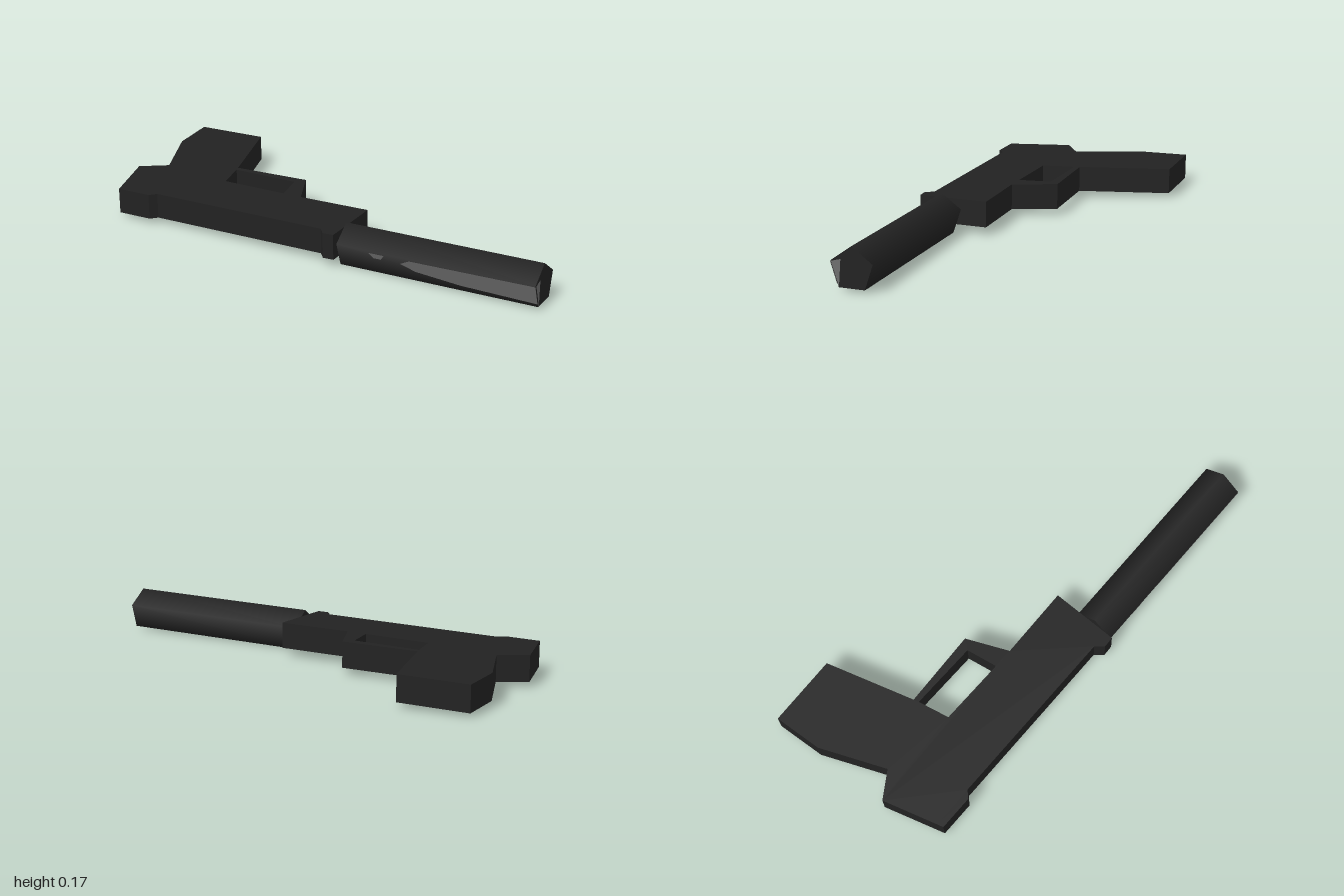
import * as THREE from 'three';

export function createModel() {
  const model = new THREE.Group();
  const black = new THREE.MeshStandardMaterial({ color: 0x222222 });
  black.name = 'black';
  const grey = new THREE.MeshStandardMaterial({ color: 0x6e6e6e, side: THREE.DoubleSide });
  grey.name = 'grey';

  const shapeOf = (points) => new THREE.Shape(points.map(([x, y]) => new THREE.Vector2(x, y)));
  const add = (parent, name, geometry, material) => {
    const mesh = new THREE.Mesh(geometry, material);
    mesh.name = name;
    parent.add(mesh);
    return mesh;
  };

  // Flat body lying on its side: outlines are [x, z], all of one thickness
  const body = new THREE.Group();
  body.name = 'body';
  body.position.y = 0.085;
  body.rotation.z = 0.015;
  model.add(body);
  const thickness = 0.102;
  const slab = (name, outline) => {
    const geometry = new THREE.ExtrudeGeometry(shapeOf(outline.map(([x, z]) => [x, -z])),
      { depth: thickness, bevelEnabled: false });
    geometry.translate(0, 0, -thickness / 2).rotateX(-Math.PI / 2);
    add(body, name, geometry, black);
  };
  slab('frame', [[-0.49, 0.07], [-0.22, 0.024], [-0.14, 0.01], [0.15, -0.05], [0.195, 0.19],
    [0.125, 0.203], [-0.61, 0.34], [-0.782, 0.372], [-0.885, 0.17], [-0.795, 0.085]]);
  slab('grip', [[-0.49, 0.07], [-0.795, 0.085], [-0.95, -0.15], [-1, -0.34],
    [-0.72, -0.4], [-0.55, -0.07], [-0.54, -0.05]]);
  slab('triggerGuard', [[-0.55, -0.07], [-0.243, -0.14], [-0.14, 0.01],
    [-0.22, 0.024], [-0.265, -0.096], [-0.54, -0.05]]);
  slab('rearSight', [[-0.61, 0.34], [-0.63, 0.37], [-0.77, 0.396], [-0.782, 0.372]]);
  slab('frontSight', [[0.125, 0.203], [0.157, 0.23], [0.2, 0.22], [0.195, 0.19]]);

  // Five-sided barrel tube, one corner upwards, built along x and then turned
  const radius = 0.085, length = 0.81;
  const barrel = new THREE.Group();
  barrel.name = 'barrel';
  barrel.position.set(0.588, 0.079, 0.052);
  barrel.rotation.set(0, 0.189, 0.0155);
  model.add(barrel);
  const tube = new THREE.CylinderGeometry(radius, radius, length, 5);
  tube.rotateX(-Math.PI / 2).rotateY(Math.PI / 2);
  add(barrel, 'barrelTube', tube, black);

  // Worn grey patches on the front side face
  const apothem = radius * Math.cos(Math.PI / 5);
  const patches = [
    [[-0.14, 0.02], [-0.1, 0.042], [0.405, 0.047], [0.405, -0.035], [0.1, -0.025], [-0.08, -0.004]],
    [[-0.27, 0.042], [-0.205, 0.042], [-0.22, 0.02], [-0.25, 0.02]],
  ];
  for (const points of patches) {
    const plate = new THREE.ShapeGeometry(shapeOf(points));
    plate.translate(0, 0, apothem + 0.002).rotateX(Math.PI / 10);
    add(barrel, 'sidePatch', plate, grey);
  }

  // Grey sliver on the muzzle
  const sliver = new THREE.ShapeGeometry(shapeOf([[-0.078, 0.025], [-0.048, -0.066], [-0.041, 0.035]]));
  sliver.rotateY(Math.PI / 2).translate(length / 2 + 0.002, 0, 0);
  add(barrel, 'muzzlePatch', sliver, grey);

  return model;
}
